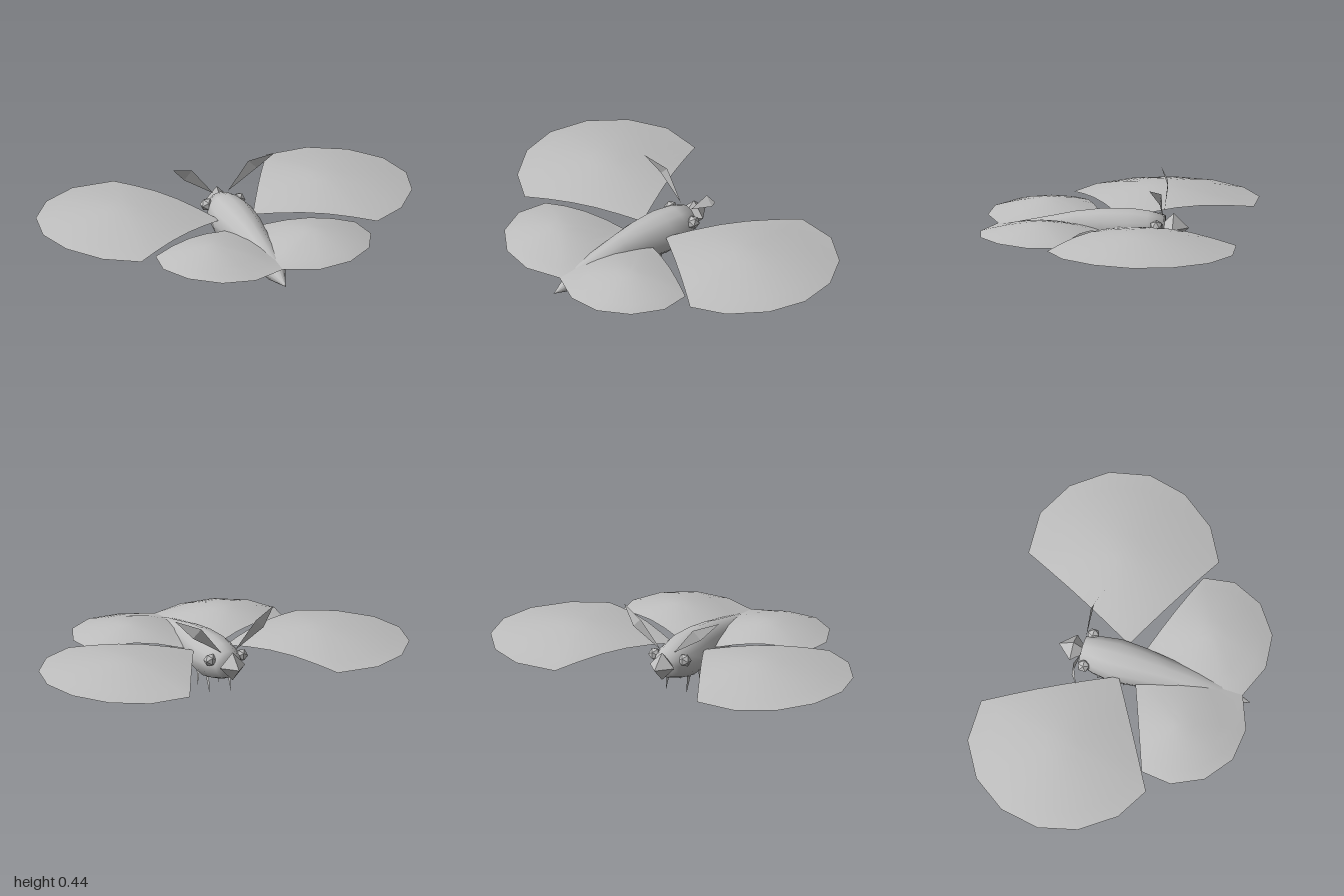
import * as THREE from 'three';

const grey = new THREE.MeshStandardMaterial({ color: 0xbebebe, side: THREE.DoubleSide });
grey.name = 'grey';
const greyFlat = grey; // one colour for the whole insect

function add(group, name, geometry) {
  const mesh = new THREE.Mesh(geometry, greyFlat);
  mesh.name = name;
  group.add(mesh);
  return mesh;
}

function build(points, index) {
  const g = new THREE.BufferGeometry();
  g.setAttribute('position', new THREE.Float32BufferAttribute(points.flat(), 3));
  if (index) g.setIndex(index);
  g.computeVertexNormals();
  return g;
}

// Domed wing sheet: rings shrink from the [x, z] outline to the crown
function wingGeometry(outline, [cx, cz], radius, base, rise, side) {
  const edge = [];
  outline.forEach(([x, z], i) => {
    const [nx, nz] = outline[(i + 1) % outline.length];
    const steps = Math.hypot(nx - x, nz - z) > 0.28 ? 5 : 1;
    for (let s = 0; s < steps; s++) edge.push([x + (nx - x) * s / steps, z + (nz - z) * s / steps]);
  });
  const n = edge.length, rings = 5;
  const point = (x, z) => {
    const r = Math.min(1, Math.hypot(x - cx, z - cz) / radius);
    return [x * side, base + rise * (1 - r ** 1.6), z];
  };
  const points = [point(cx, cz)], index = [];
  const tri = (a, b, c) => index.push(...(side > 0 ? [a, b, c] : [a, c, b]));
  for (let k = 1; k <= rings; k++) {
    edge.forEach(([x, z], i) => {
      points.push(point(cx + (x - cx) * k / rings, cz + (z - cz) * k / rings));
      const j = (i + 1) % n, a = 1 + (k - 1) * n, b = a - n;
      if (k === 1) tri(0, a + j, a + i);
      else {
        tri(b + i, a + j, a + i);
        tri(b + i, b + j, a + j);
      }
    });
  }
  return build(points, index);
}

// Body lofted from oval sections [z, half width, bottom, top]
function bodyGeometry(sections, sides = 12) {
  const points = [], index = [];
  sections.forEach(([z, w, lo, hi], k) => {
    for (let i = 0; i < sides; i++) {
      const a = i / sides * Math.PI * 2;
      points.push([Math.cos(a) * w, (lo + hi) / 2 + Math.sin(a) * (hi - lo) / 2, z]);
      if (k === 0) continue;
      const j = (i + 1) % sides, p = (k - 1) * sides, q = k * sides;
      index.push(p + i, p + j, q + j, p + i, q + j, q + i);
    }
  });
  return build(points, index);
}

const foreOutline = [[0.09, -0.04], [0.42, -0.675], [0.645, -0.68], [0.83, -0.578], [0.957, -0.406],
  [1, -0.2], [0.952, 0], [0.822, 0.176], [0.65, 0.273]];
const hindOutline = [[0, 0.015], [0.55, 0.22], [0.572, 0.38], [0.498, 0.54], [0.353, 0.647],
  [0.176, 0.665], [0, 0.594]];

export function createModel() {
  const model = new THREE.Group();
  model.name = 'butterfly';

  add(model, 'body', bodyGeometry([
    [-0.262, 0, 0.18, 0.18], [-0.26, 0.075, 0.112, 0.255], [-0.18, 0.1, 0.082, 0.275],
    [-0.08, 0.115, 0.062, 0.287], [0.06, 0.103, 0.076, 0.282], [0.2, 0.083, 0.08, 0.264],
    [0.3, 0.075, 0.08, 0.242], [0.48, 0.06, 0.08, 0.205], [0.635, 0, 0.11, 0.11]]));

  // Faceted head
  const head = new THREE.OctahedronGeometry(1).scale(0.072, 0.075, 0.078);
  add(model, 'head', head).position.set(0, 0.19, -0.308);

  for (const side of [1, -1]) {
    const name = side > 0 ? 'left' : 'right';
    add(model, name + 'Forewing', wingGeometry(foreOutline, [0.55, -0.2], 0.475, 0.207, 0.077, side));
    add(model, name + 'Hindwing', wingGeometry(hindOutline, [0.27, 0.35], 0.33, 0.19, 0.073, side));

    add(model, name + 'Eye', new THREE.IcosahedronGeometry(0.035, 0)).position.set(side * 0.088, 0.212, -0.228);

    // Folded leaf-shaped antenna
    const base = [side * 0.04, 0.255, -0.255], upper = [side * 0.155, 0.4, -0.262];
    const lower = [side * 0.2, 0.355, -0.258], tip = [side * 0.28, 0.445, -0.212];
    const leaf = [base, lower, upper, upper, lower, tip];
    add(model, name + 'Antenna', build(side > 0 ? leaf : leaf.reverse()));

    // Flat pointed legs
    for (const [top, foot] of [[0.075, 0.122], [-0.032, -0.022], [-0.142, -0.165]]) {
      const x = side * 0.06;
      const leg = [[x, 0.095, top - 0.015], [x, 0.085, top + 0.02], [x, 0, foot]];
      add(model, name + 'Leg', build(side > 0 ? leg.reverse() : leg));
    }
  }
  return model;
}
